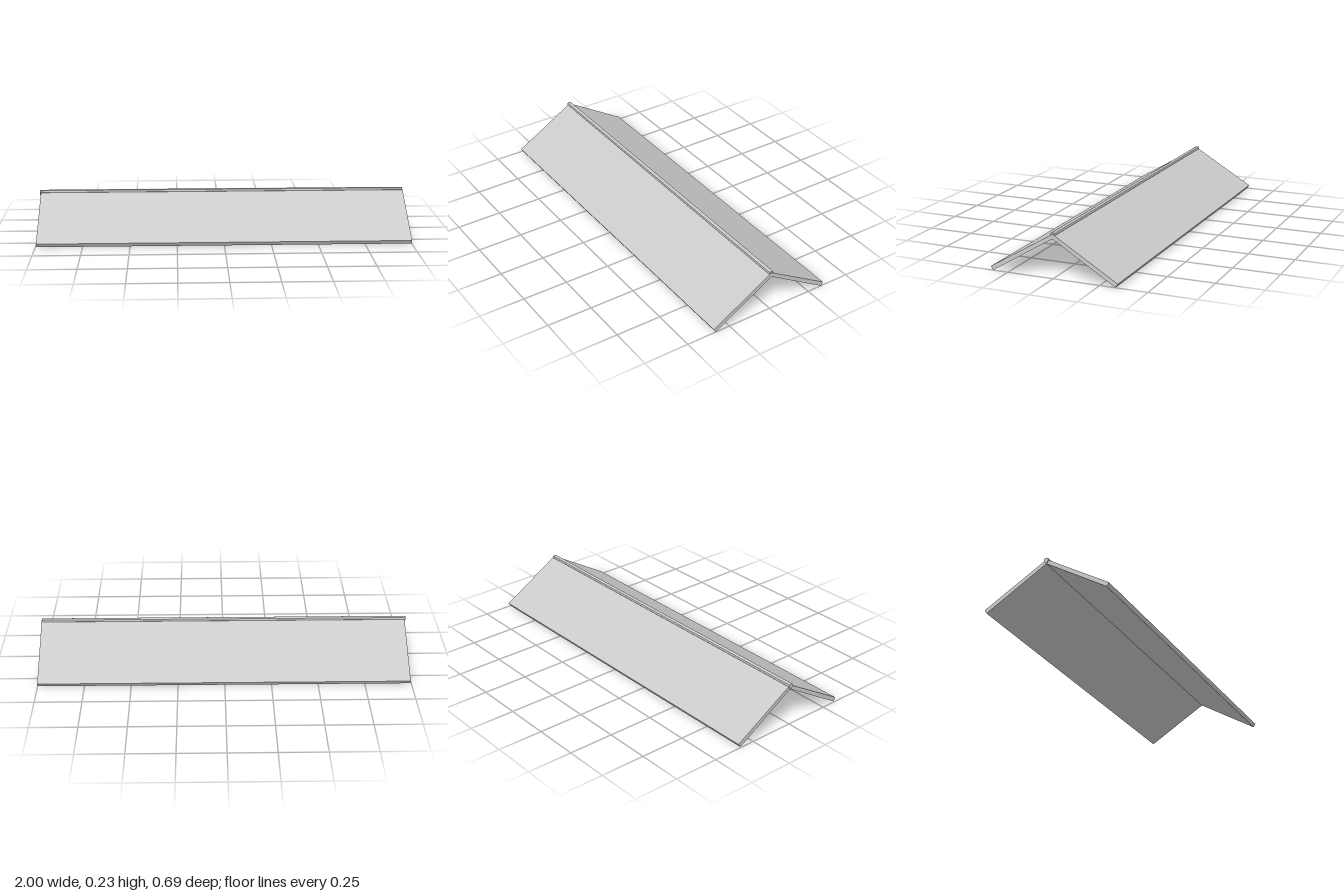
import * as THREE from 'three';

const material = new THREE.MeshStandardMaterial({ color: 0xcccccc, flatShading: true });

// Extrudes a [z, y] profile along x from x0 to x1
function bar(name, points, x0, x1) {
  const shape = new THREE.Shape(points.map(([z, y]) => new THREE.Vector2(-z, y)));
  const geometry = new THREE.ExtrudeGeometry(shape, { depth: x1 - x0, bevelEnabled: false });
  geometry.rotateY(Math.PI / 2).translate(x0, 0, 0);
  const mesh = new THREE.Mesh(geometry, material);
  mesh.name = name;
  return mesh;
}

export function createModel() {
  const group = new THREE.Group();
  group.name = 'gableRoof';

  // Two sloping slabs that meet at the ridge
  for (const [name, s] of [['frontSlope', 1], ['backSlope', -1]]) {
    const profile = [[0, 0.203], [0.333, 0], [0.345, 0.02], [0, 0.227]];
    group.add(bar(name, profile.map(([z, y]) => [s * z, y]), -0.995, 1));
  }

  // Faceted ridge beam, slightly proud of the slabs at one end
  const half = [[0.007, 0.209], [0.0125, 0.221], [0.0105, 0.231]];
  const mirrored = half.map(([z, y]) => [-z, y]).reverse();
  group.add(bar('ridgeBeam', [[0, 0.203], ...half, [0, 0.234], ...mirrored], -1, 0.997));

  return group;
}
